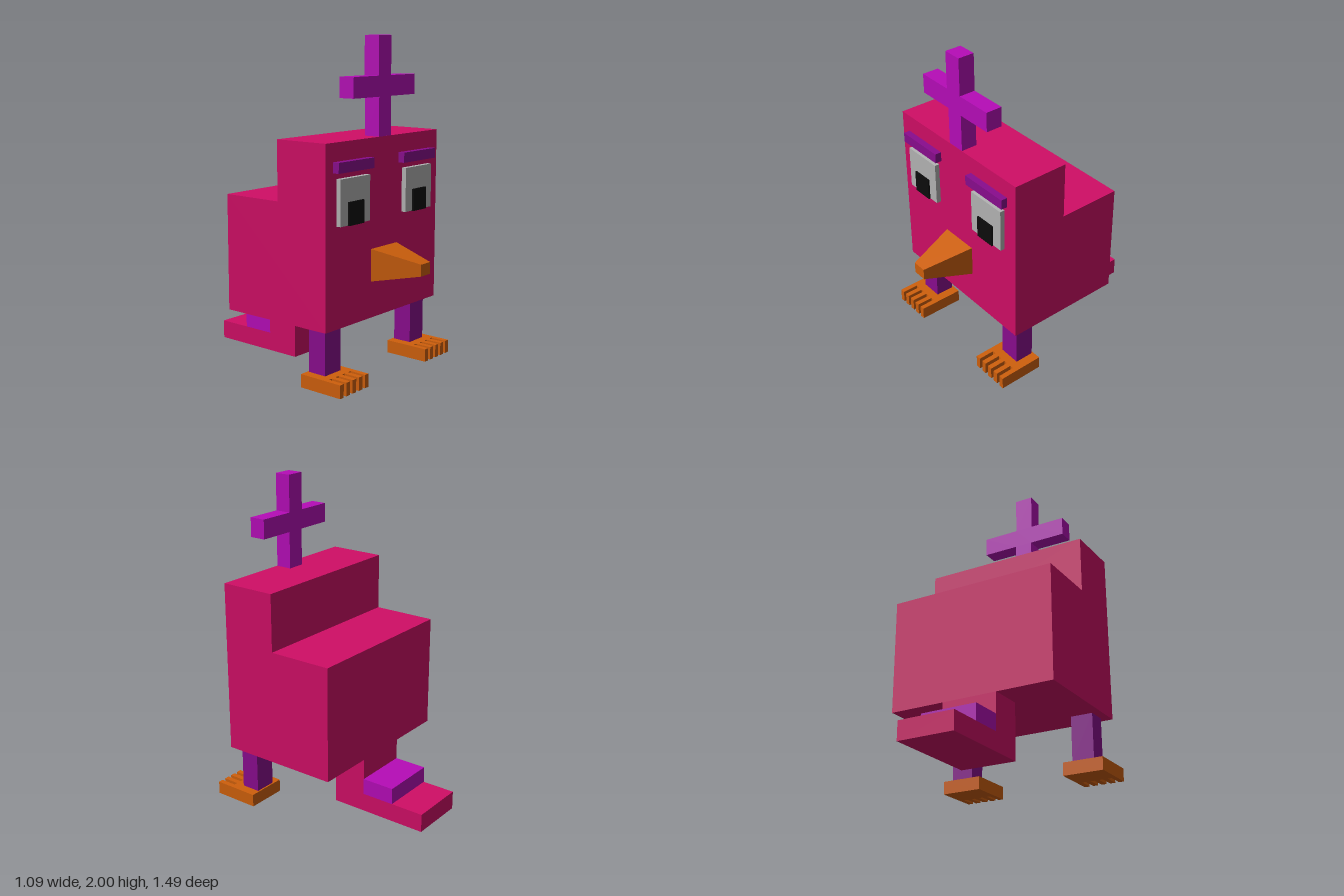
import * as THREE from 'three';

const paint = (color) => new THREE.MeshStandardMaterial({ color, flatShading: true });
const red = paint(0xd00e66);
const violet = paint(0xb60cb8);
const darkViolet = paint(0x8a0c8e);
const orange = paint(0xcf600c);
const grey = paint(0xb4b4b4);
const black = paint(0x0c0c0c);

function add(group, name, geometry, material) {
  const mesh = new THREE.Mesh(geometry, material);
  mesh.name = name;
  group.add(mesh);
  return mesh;
}

// Box given by its limits on each axis
function box([x0, x1], [y0, y1], [z0, z1]) {
  return new THREE.BoxGeometry(x1 - x0, y1 - y0, z1 - z0)
    .translate((x0 + x1) / 2, (y0 + y1) / 2, (z0 + z1) / 2);
}

function extrude(points, depth) {
  const shape = new THREE.Shape(points.map(([a, b]) => new THREE.Vector2(a, b)));
  return new THREE.ExtrudeGeometry(shape, { depth, bevelEnabled: false });
}

// Side outline in (z, y), extruded across x
function sideProfile(points, x0, x1) {
  return extrude(points, x1 - x0).rotateY(-Math.PI / 2).translate(x1, 0, 0);
}

// Foot with five toes, outlined in (x, z) and extruded up
function footGeometry(x0) {
  const width = 0.256, toe = 0.032, pitch = (width - toe) / 4;
  const points = [[x0 + width, 0.265], [x0, 0.265]];
  for (let i = 0; i < 5; i++) {
    const a = x0 + i * pitch;
    if (i > 0) points.push([a, 0.45]);
    points.push([a, 0.555], [a + toe, 0.555]);
    if (i < 4) points.push([a + toe, 0.45]);
  }
  return extrude(points, 0.08).rotateX(Math.PI / 2).translate(0, 0.08, 0);
}

export function createModel() {
  const model = new THREE.Group();
  model.name = 'blockBird';

  // Stepped body
  add(model, 'body', sideProfile([
    [0.445, 0.355], [0.445, 1.42], [0.087, 1.42],
    [0.087, 1.065], [-0.32, 1.065], [-0.32, 0.355],
  ], -0.54, 0.53), red);

  // Tail: post under the body, flat end behind, raised block on top
  add(model, 'tail', sideProfile([
    [-0.107, 0.355], [-0.32, 0.355], [-0.32, 0.123],
    [-0.743, 0.123], [-0.743, 0.008], [-0.107, 0.008],
  ], -0.182, 0.174), red);
  add(model, 'tailBlock', box([-0.182, 0.174], [0.123, 0.225], [-0.53, -0.32]), violet);

  // Cross-shaped crest
  add(model, 'crest', extrude([
    [-0.062, 1.42], [0.053, 1.42], [0.053, 1.65], [0.286, 1.65],
    [0.286, 1.77], [0.05, 1.77], [0.05, 2], [-0.068, 2],
    [-0.068, 1.77], [-0.297, 1.77], [-0.297, 1.65], [-0.062, 1.65],
  ], 0.103).translate(0, 0, 0.341), violet);

  // Beak: a box narrowed towards its tip
  const beak = new THREE.BoxGeometry(0.25, 0.195, 0.3);
  const p = beak.attributes.position;
  for (let i = 0; i < p.count; i++) {
    if (p.getZ(i) > 0) p.setXY(i, p.getX(i) * 0.36, p.getY(i) * 0.36);
  }
  beak.computeVertexNormals();
  add(model, 'beak', beak, orange).position.set(-0.005, 0.672, 0.595);

  // Eyes, brows, legs and feet on each side
  const sides = [
    { name: 'left', eye: [0.167, 0.433], pupil: [0.233, 0.366], brow: [0.132, 0.457], leg: [0.342, 0.481], foot: 0.284 },
    { name: 'right', eye: [-0.447, -0.181], pupil: [-0.381, -0.248], brow: [-0.477, -0.155], leg: [-0.486, -0.347], foot: -0.545 },
  ];
  for (const s of sides) {
    add(model, s.name + 'Eye', box(s.eye, [0.95, 1.217], [0.44, 0.475]), grey);
    add(model, s.name + 'Pupil', box(s.pupil, [0.948, 1.083], [0.44, 0.486]), black);
    add(model, s.name + 'Brow', box(s.brow, [1.252, 1.313], [0.44, 0.486]), darkViolet);
    add(model, s.name + 'Leg', box(s.leg, [0.08, 0.355], [0.275, 0.396]), darkViolet);
    add(model, s.name + 'Foot', footGeometry(s.foot), orange);
  }
  return model;
}
